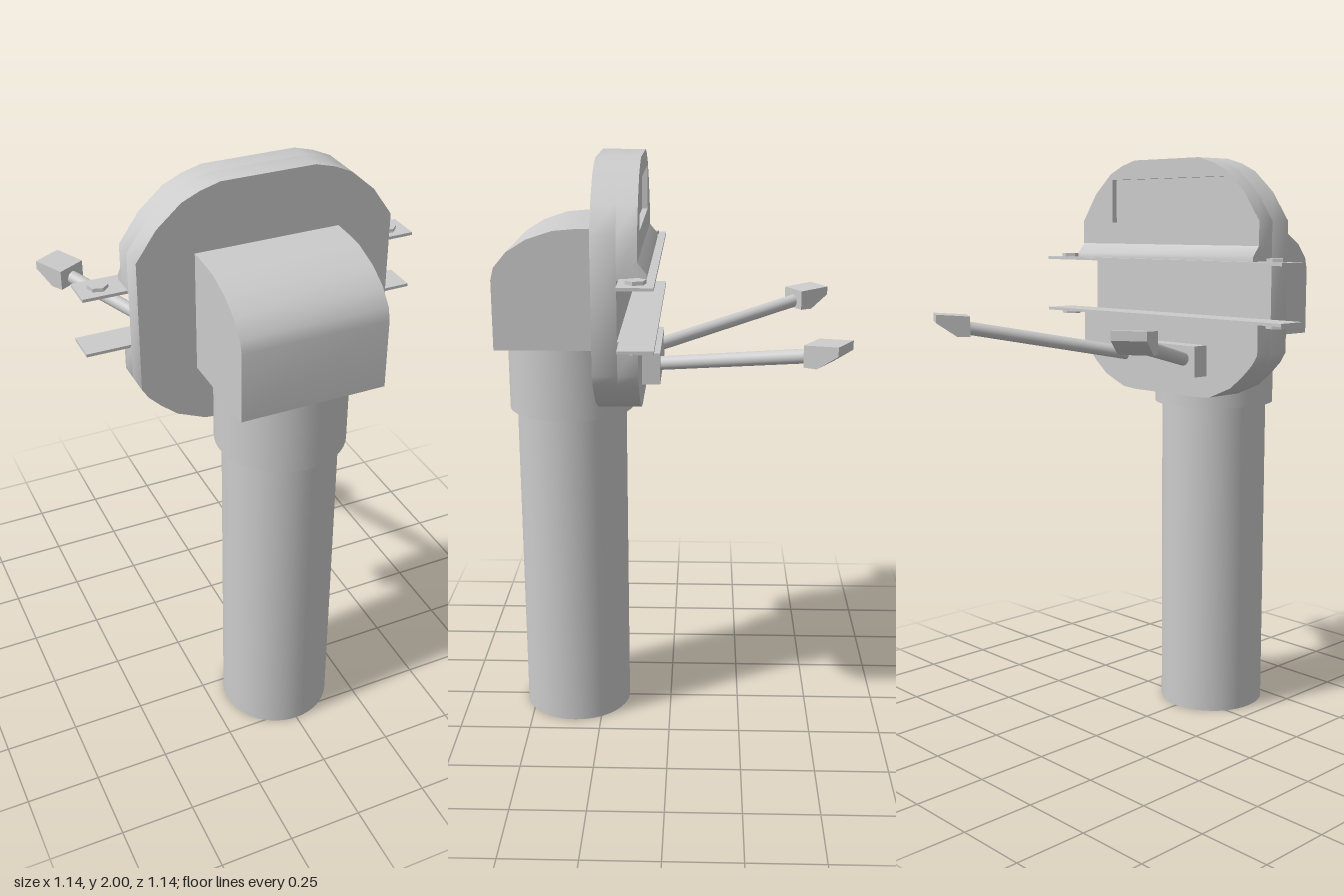
import * as THREE from 'three';
import { toCreasedNormals } from 'three/addons/utils/BufferGeometryUtils.js';

const material = new THREE.MeshStandardMaterial({ color: 0xcccccc });
const openMaterial = new THREE.MeshStandardMaterial({ color: 0xcccccc, side: THREE.DoubleSide });

function add(parent, name, geometry, x = 0, y = 0, z = 0, mat = material) {
  const mesh = new THREE.Mesh(geometry, mat);
  mesh.name = name;
  mesh.position.set(x, y, z);
  parent.add(mesh);
  return mesh;
}

const toShape = (points) => new THREE.Shape(points.map(([x, y]) => new THREE.Vector2(x, y)));

function extrude(shape, depth) {
  const geometry = new THREE.ExtrudeGeometry(shape, { depth, bevelEnabled: false });
  return toCreasedNormals(geometry, 0.7);
}

// Side profile given as (z, y), extruded evenly along x
function extrudeAcross(points, width) {
  return extrude(toShape(points), width).translate(0, 0, -width / 2).rotateY(-Math.PI / 2);
}

// Mirrors a right-hand outline (listed bottom to top) into a closed shape
function mirrored(half) {
  return toShape([...half, ...half.slice().reverse().map(([x, y]) => [-x, y])]);
}

export function createModel() {
  const model = new THREE.Group();
  model.name = 'pipeHousing';

  // Down pipe, open at the bottom, and its collar
  add(model, 'pipe', new THREE.CylinderGeometry(0.19, 0.19, 1.16, 48, 1, true), 0, 0.58, 0.345, openMaterial);
  add(model, 'collar', new THREE.CylinderGeometry(0.215, 0.215, 0.25, 48), 0, 1.265, 0.345);

  // Hood with rounded top front edge
  add(model, 'hood', extrudeAcross([
    [0.235, 1.39], [0.572, 1.39], [0.572, 1.62], [0.562, 1.66], [0.52, 1.71],
    [0.455, 1.75], [0.37, 1.778], [0.3, 1.784], [0.235, 1.786],
  ], 0.482));

  // Housing: a full front slab plus two back blocks with a slot between them
  const lower = [[0.155, 1.19], [0.215, 1.195], [0.31, 1.235], [0.365, 1.28], [0.405, 1.32], [0.427, 1.355]];
  const upper = [[0.427, 1.79], [0.36, 1.885], [0.28, 1.955], [0.22, 1.982], [0.155, 2]];
  const slotBottom = 1.465, slotTop = 1.655;
  add(model, 'housingFront', extrude(mirrored([...lower, ...upper]), 0.08), 0, 0, 0.155);
  add(model, 'housingLowerBack', extrude(mirrored([...lower, [0.427, slotBottom]]), 0.065), 0, 0, 0.09);

  // Upper back block with the recessed window
  const upperBack = mirrored([[0.427, slotTop], ...upper]);
  const hole = new THREE.Path();
  hole.moveTo(-0.27, 1.785).lineTo(-0.27, 1.935).lineTo(0.27, 1.935).lineTo(0.27, 1.785).closePath();
  upperBack.holes.push(hole);
  add(model, 'housingUpperBack', extrude(upperBack, 0.065), 0, 0, 0.09);
  add(model, 'windowPanel', new THREE.BoxGeometry(0.54, 0.15, 0.04), 0, 1.86, 0.13);

  // Sloping lip above the slot
  add(model, 'slotLip', extrudeAcross([
    [0.1, slotTop], [0.1, 1.71], [0.09, 1.71], [0.062, 1.675], [0.062, slotTop],
  ].reverse(), 0.854));

  // Rails along the slot, bolted at both ends
  for (const [name, y, side] of [['upperRail', slotTop, 1], ['lowerRail', slotBottom, -1]]) {
    add(model, name, new THREE.BoxGeometry(1.14, 0.01, 0.112), 0, y, 0.091);
    for (const s of [-1, 1]) {
      const bolt = add(model, name + 'Bolt', new THREE.CylinderGeometry(0.033, 0.033, 0.014, 6).toNonIndexed(),
        s * 0.503, y + side * 0.01, 0.091);
      bolt.geometry.computeVertexNormals();
      bolt.rotation.y = 0.25;
    }
  }

  // Arm bracket
  add(model, 'armBracket', new THREE.BoxGeometry(0.4, 0.106, 0.07), 0, 1.32, 0.065);

  // Splayed arms with wedge-shaped pads
  for (const s of [-1, 1]) {
    const path = new THREE.LineCurve3(
      new THREE.Vector3(s * 0.14, 1.325, 0.04), new THREE.Vector3(s * 0.435, 1.428, -0.46));
    add(model, 'arm', new THREE.TubeGeometry(path, 1, 0.023, 20));
    const pad = add(model, 'armPad', extrudeAcross([
      [0, 1.4], [0.045, 1.4], [0.115, 1.448], [0.115, 1.477], [0, 1.469],
    ], 0.11), s * 0.428, 0, -0.445);
    pad.rotation.y = s * Math.PI * 5 / 6;
  }
  return model;
}
